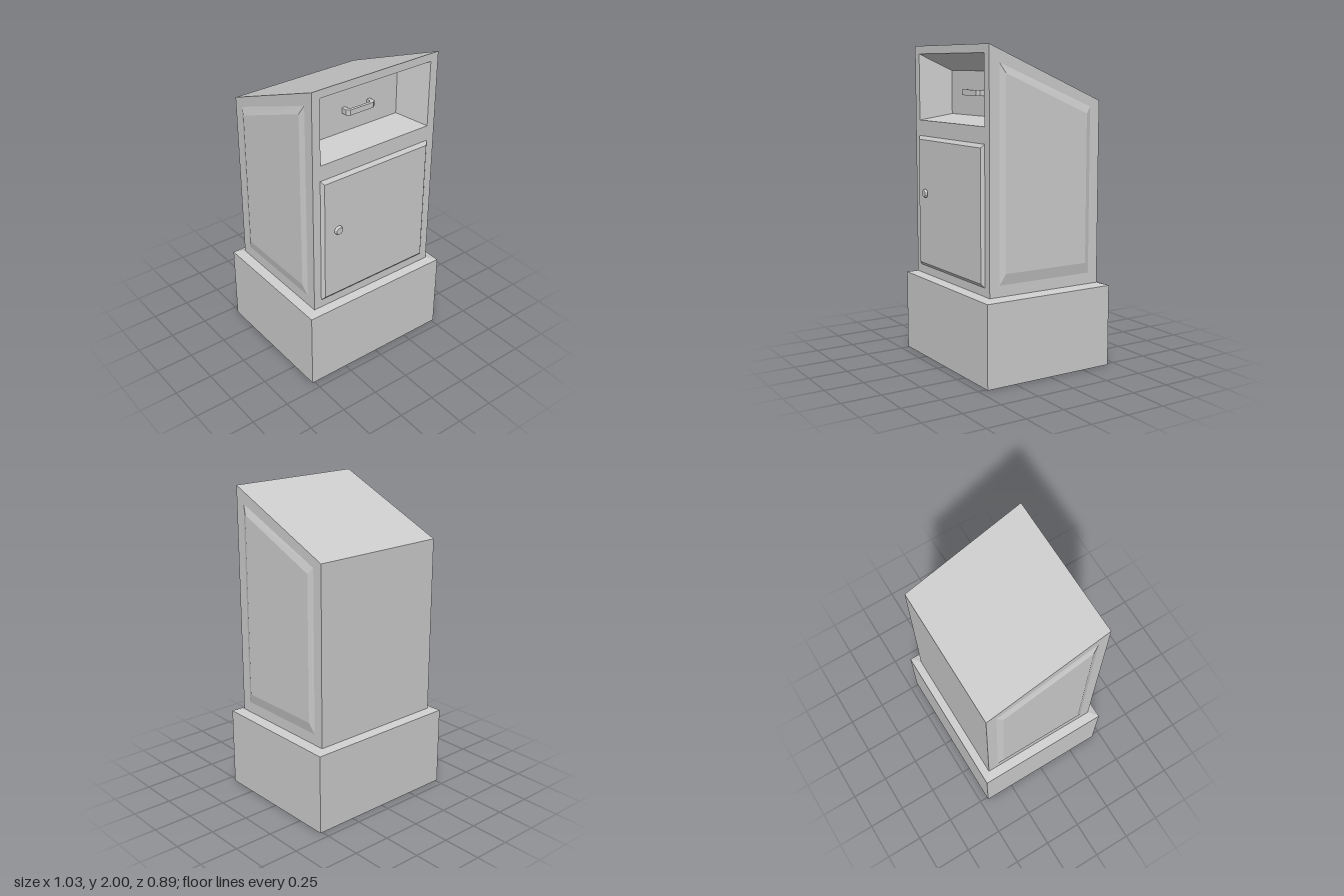
import * as THREE from 'three';

const grey = new THREE.MeshStandardMaterial({ color: 0xcccccc, flatShading: true });

function add(group, name, geometry) {
  const mesh = new THREE.Mesh(geometry, grey);
  mesh.name = name;
  group.add(mesh);
  return mesh;
}

// Skin a series of four-cornered loops (counter-clockwise seen from the end) and cap both ends
function loft(loops) {
  const pos = [];
  const quad = (a, b, c, d) => pos.push(...a, ...b, ...c, ...a, ...c, ...d);
  for (let k = 0; k < loops.length - 1; k++) {
    const a = loops[k], b = loops[k + 1];
    for (let i = 0; i < 4; i++) {
      const j = (i + 1) % 4;
      quad(a[i], a[j], b[j], b[i]);
    }
  }
  quad(...[...loops[0]].reverse());
  quad(...loops[loops.length - 1]);
  const g = new THREE.BufferGeometry();
  g.setAttribute('position', new THREE.Float32BufferAttribute(pos, 3));
  g.computeVertexNormals();
  return g;
}

// Upright rectangle facing +z
const frontLoop = (x, y0, y1, z) => [[-x, y0, z], [x, y0, z], [x, y1, z], [-x, y1, z]];
// Level rectangle facing +y
const levelLoop = (x, y, z) => [[-x, y, z], [x, y, z], [x, y, -z], [-x, y, -z]];
// Slope-topped panel outline facing +x
const sideLoop = (x, z, y0, yBack, yFront) => [[x, y0, z], [x, y0, -z], [x, yBack, -z], [x, yFront, z]];
const mirrorX = (loop) => loop.map(([x, y, z]) => [-x, y, z]).reverse();

export function createModel() {
  const model = new THREE.Group();
  model.name = 'cabinet';

  // Plinth with a shallow sloped shoulder
  add(model, 'plinth', loft([
    levelLoop(0.515, 0, 0.445), levelLoop(0.515, 0.515, 0.445), levelLoop(0.455, 0.53, 0.393),
  ]));

  // Slope-topped body with a tapering recess sunk into its front
  add(model, 'body', loft([
    frontLoop(0.455, 0.53, 1.667, -0.393),
    frontLoop(0.455, 0.53, 2, 0.393),
    frontLoop(0.4, 1.53, 1.95, 0.393),
    frontLoop(0.31, 1.57, 1.845, 0.205),
  ]));

  // Raised side panels
  const panel = [
    sideLoop(0.455, 0.325, 0.6, 1.63, 1.895),
    sideLoop(0.47, 0.29, 0.668, 1.59, 1.835),
  ];
  add(model, 'leftPanel', loft(panel));
  add(model, 'rightPanel', loft(panel.map(mirrorX)));

  // Bevelled door
  add(model, 'door', loft([
    frontLoop(0.403, 0.583, 1.43, 0.393), frontLoop(0.385, 0.605, 1.408, 0.411),
  ]));

  // Door knob: narrow stem and bevelled head
  const knob = new THREE.Group();
  knob.name = 'doorKnob';
  knob.position.set(-0.29, 1.067, 0);
  const stem = add(knob, 'knobStem', new THREE.CylinderGeometry(0.018, 0.018, 0.012, 10));
  const head = add(knob, 'knobHead', new THREE.CylinderGeometry(0.022, 0.03, 0.015, 10));
  stem.position.z = 0.414;
  head.position.z = 0.424;
  stem.rotation.x = head.rotation.x = Math.PI / 2;
  model.add(knob);

  // Bracket handle on the back of the recess
  const outline = [
    [-0.105, 0], [-0.08, 0], [-0.08, 0.03], [-0.07, 0.037], [0.07, 0.037], [0.08, 0.03],
    [0.08, 0], [0.105, 0], [0.105, 0.04], [0.085, 0.055], [-0.085, 0.055], [-0.105, 0.04],
  ].map(([x, z]) => new THREE.Vector2(x, z));
  const handle = add(model, 'handle',
    new THREE.ExtrudeGeometry(new THREE.Shape(outline), { depth: 0.035, bevelEnabled: false }));
  handle.rotation.x = Math.PI / 2;
  handle.position.set(0, 1.73, 0.205);

  return model;
}
